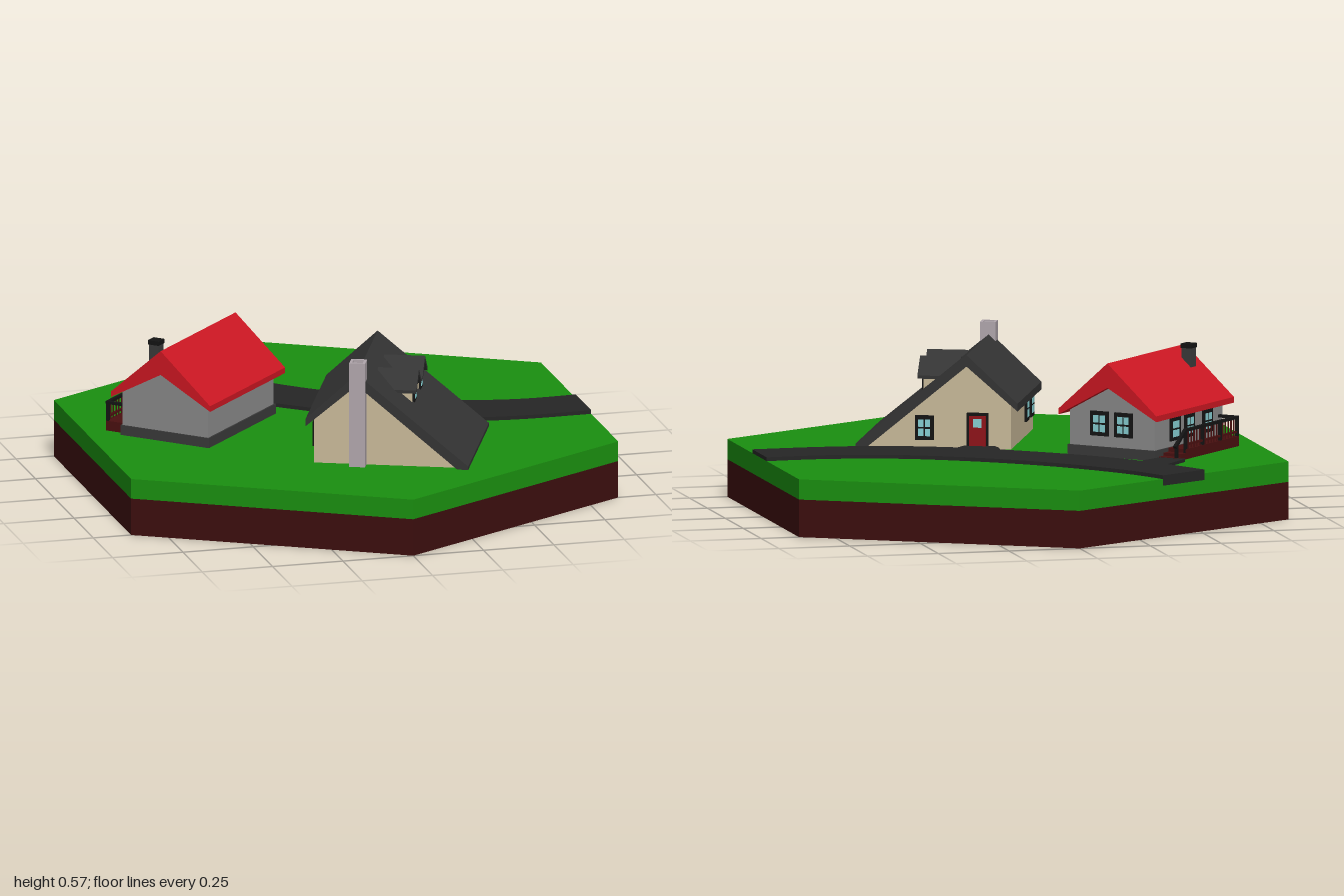
import * as THREE from 'three';

const mat = (color) => new THREE.MeshStandardMaterial({ color, flatShading: true });
const M = {
  grass: mat(0x1a8f10), dirt: mat(0x3c0e0e), road: mat(0x262626), red: mat(0xcc1722),
  slate: mat(0x343434), grey: mat(0x8a8a8a), tan: mat(0xc8b999), base: mat(0x3a3a3a),
  black: mat(0x141414), brown: mat(0x4a1010), pane: mat(0x86cfd2), stone: mat(0xb0a6ac),
};

function add(parent, name, geometry, material, x = 0, y = 0, z = 0) {
  const mesh = new THREE.Mesh(geometry, material);
  mesh.name = name;
  mesh.position.set(x, y, z);
  parent.add(mesh);
  return mesh;
}

const box = (parent, name, w, h, d, material, x, y, z) =>
  add(parent, name, new THREE.BoxGeometry(w, h, d), material, x, y, z);

function group(parent, name, x, y, z, turn) {
  const g = new THREE.Group();
  g.name = name;
  g.position.set(x, y, z);
  g.rotation.y = turn;
  parent.add(g);
  return g;
}

// Outline in x/y, extruded from z0 to z1
function prism(parent, name, points, z0, z1, material) {
  const shape = new THREE.Shape(points.map(([x, y]) => new THREE.Vector2(x, y)));
  const geometry = new THREE.ExtrudeGeometry(shape, { depth: z1 - z0, bevelEnabled: false });
  return add(parent, name, geometry, material, 0, 0, z0);
}

// Ground outline in x/z, extruded from y0 to y1
function slab(parent, name, points, y0, y1, material) {
  const mesh = prism(parent, name, points.map(([x, z]) => [x, -z]), 0, y1 - y0, material);
  mesh.rotation.x = -Math.PI / 2;
  mesh.position.y = y0;
  return mesh;
}

// Four-pane window facing local +z
function addWindow(parent, x, y, z, turn, w, h) {
  const g = group(parent, 'window', x, y, z, turn);
  box(g, 'windowFrame', w, h, 0.012, M.black, 0, 0, 0);
  for (const sx of [-1, 1]) for (const sy of [-1, 1])
    box(g, 'windowPane', w * 0.28, h * 0.3, 0.004, M.pane, sx * w * 0.18, sy * h * 0.19, 0.006);
}

function addTerrain(root) {
  const hex = [...Array(6)].map((_, i) => {
    const a = (i * Math.PI) / 3;
    return [Math.sin(a), Math.cos(a)];
  });
  slab(root, 'soil', hex, 0, 0.13, M.dirt);
  slab(root, 'grass', hex, 0.13, 0.2, M.grass);

  // Curved road between two sides of the tile
  const smooth = (pts) => new THREE.SplineCurve(pts.map(([x, z]) => new THREE.Vector2(x, z)))
    .getPoints(24).map((p) => [p.x, p.y]);
  const near = smooth([[-0.518, -0.701], [-0.42, -0.535], [-0.27, -0.33], [-0.06, -0.14],
    [0.17, 0.02], [0.4, 0.115], [0.62, 0.15], [0.866, 0.15]]);
  const far = smooth([[0.866, -0.05], [0.65, -0.05], [0.4, -0.11], [0.15, -0.25],
    [-0.07, -0.43], [-0.25, -0.64], [-0.345, -0.801]]);
  slab(root, 'road', [...near, ...far], 0.177, 0.213, M.road);
  slab(root, 'cottagePath', [[0.07, -0.12], [0.045, -0.07], [0.033, -0.01], [0.04, 0.06],
    [0.13, 0.08], [0.2, 0.0]], 0.18, 0.211, M.road);
  slab(root, 'porchPath', [[-0.38, -0.56], [-0.425, -0.535], [-0.52, -0.42], [-0.45, -0.36],
    [-0.35, -0.435], [-0.3, -0.46]], 0.18, 0.211, M.road);
}

function addRedHouse(root) {
  const g = group(root, 'redHouse', -0.467, 0, -0.085, -0.764);
  box(g, 'foundation', 0.345, 0.04, 0.482, M.base, 0, 0.215, 0);
  prism(g, 'walls', [[-0.167, 0.23], [0.167, 0.23], [0.167, 0.36], [0, 0.47], [-0.167, 0.36]],
    -0.236, 0.236, M.grey);
  prism(g, 'roof', [[-0.193, 0.34], [0, 0.445], [0.193, 0.34], [0.193, 0.36], [0, 0.53], [-0.193, 0.36]],
    -0.27, 0.27, M.red);
  box(g, 'chimney', 0.036, 0.12, 0.036, M.base, -0.056, 0.485, 0.198);
  box(g, 'chimneyCap', 0.042, 0.015, 0.042, M.black, -0.056, 0.538, 0.198);
  for (const x of [-0.047, 0.047]) addWindow(g, x, 0.315, -0.238, Math.PI, 0.07, 0.085);
  for (const z of [-0.1, 0, 0.125]) addWindow(g, -0.169, 0.295, z, -Math.PI / 2, 0.065, 0.08);

  // Porch with steps down at one end
  const porch = group(g, 'porch', 0, 0, 0, 0);
  box(porch, 'deck', 0.08, 0.035, 0.367, M.brown, -0.202, 0.2175, 0.0335);
  for (let i = 0; i < 2; i++)
    box(porch, 'step', 0.08, 0.022 - i * 0.01, 0.033, M.brown, -0.202, 0.211 - i * 0.005, -0.166 - i * 0.033);
  for (const z of [-0.145, -0.025, 0.095, 0.212])
    box(porch, 'post', 0.01, 0.1, 0.01, M.black, -0.237, 0.25, z);
  box(porch, 'handrail', 0.012, 0.01, 0.365, M.black, -0.237, 0.3, 0.034);
  box(porch, 'lowerRail', 0.008, 0.007, 0.36, M.brown, -0.237, 0.25, 0.034);
  box(porch, 'endRail', 0.07, 0.01, 0.012, M.black, -0.202, 0.3, 0.212);
  for (let i = 1; i < 18; i++)
    box(porch, 'baluster', 0.004, 0.07, 0.004, M.brown, -0.237, 0.265, -0.145 + i * 0.0198);
  const slope = box(porch, 'stairRail', 0.012, 0.01, 0.09, M.black, -0.237, 0.275, -0.182);
  slope.rotation.x = -0.62;
  box(porch, 'stairPost', 0.01, 0.06, 0.01, M.black, -0.237, 0.228, -0.208);
}

function addCottage(root) {
  const g = group(root, 'cottage', 0.124, 0, 0.342, -0.4);
  prism(g, 'walls', [[-0.255, 0.2], [0.245, 0.2], [-0.104, 0.495], [-0.255, 0.368]], -0.248, 0.248, M.tan);
  // Long slope reaches the ground on one side
  prism(g, 'roof', [[-0.281, 0.335], [-0.104, 0.487], [0.243, 0.2], [0.281, 0.2], [0.281, 0.212],
    [-0.104, 0.527], [-0.281, 0.362]], -0.27, 0.27, M.slate);

  // Chimney stack with an open top
  const s = 0.0275, t = 0.018;
  const stack = new THREE.Shape([[-s, -s], [s, -s], [s, s], [-s, s]].map((p) => new THREE.Vector2(...p)));
  stack.holes.push(new THREE.Path([[-t, -t], [-t, t], [t, t], [t, -t]].map((p) => new THREE.Vector2(...p))));
  const chimney = add(g, 'chimney', new THREE.ExtrudeGeometry(stack, { depth: 0.37, bevelEnabled: false }),
    M.stone, -0.101, 0.2, 0.258);
  chimney.rotation.x = -Math.PI / 2;
  box(g, 'flue', 0.037, 0.34, 0.037, M.slate, -0.101, 0.37, 0.258);

  // Dormers on the long slope
  for (const z of [-0.09, 0.068]) {
    const d = group(g, 'dormer', 0, 0, z, Math.PI / 2);
    prism(d, 'dormerWalls', [[-0.043, 0.375], [0.043, 0.375], [0.043, 0.44], [0, 0.478], [-0.043, 0.44]],
      -0.04, 0.066, M.tan);
    prism(d, 'dormerRoof', [[-0.066, 0.425], [-0.045, 0.438], [0, 0.478], [0.045, 0.438], [0.066, 0.425],
      [0.066, 0.436], [0, 0.496], [-0.066, 0.436]], -0.058, 0.084, M.slate);
    addWindow(d, 0, 0.416, 0.067, 0, 0.055, 0.066);
  }

  for (const z of [0.09, 0.195]) addWindow(g, -0.257, 0.295, z, -Math.PI / 2, 0.065, 0.085);
  addWindow(g, 0.045, 0.27, -0.25, Math.PI, 0.065, 0.085);

  // Front door
  const door = group(g, 'door', -0.14, 0.2, -0.25, Math.PI);
  box(door, 'doorFrame', 0.075, 0.125, 0.012, M.black, 0, 0.0625, 0);
  box(door, 'doorLeaf', 0.058, 0.115, 0.012, mat(0x8e141a), 0, 0.0575, 0.004);
  box(door, 'doorGlass', 0.03, 0.03, 0.004, M.pane, 0, 0.09, 0.01);
}

export function createModel() {
  const root = new THREE.Group();
  root.name = 'villageTile';
  addTerrain(root);
  addRedHouse(root);
  addCottage(root);
  return root;
}
